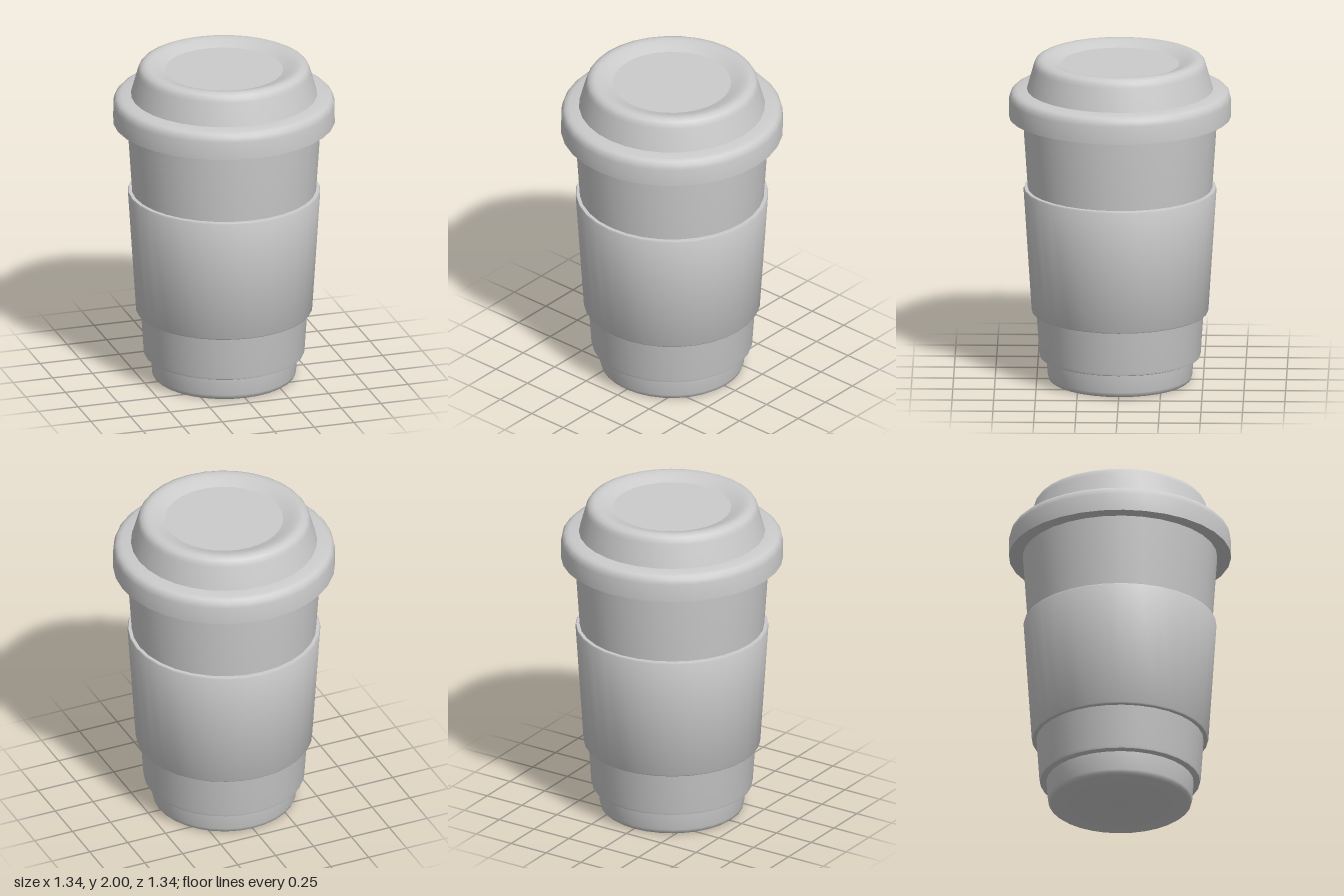
import * as THREE from 'three';
import { toCreasedNormals } from 'three/addons/utils/BufferGeometryUtils.js';

const SIDES = 32;
const material = new THREE.MeshStandardMaterial({ color: 0xcccccc });

// Turn a profile of [radius, height] pairs, listed from bottom to top along the outside
function turned(name, profile) {
  const points = profile.map(([r, y]) => new THREE.Vector2(r, y));
  const geometry = toCreasedNormals(new THREE.LatheGeometry(points, SIDES), 0.7);
  const mesh = new THREE.Mesh(geometry, material);
  mesh.name = name;
  return mesh;
}

export function createModel() {
  const group = new THREE.Group();
  group.name = 'travelCup';

  // Tapered cup with a narrower foot
  group.add(turned('cup', [
    [0, 0], [0.415, 0], [0.428, 0.01], [0.434, 0.03], [0.443, 0.145],
    [0.47, 0.145], [0.481, 0.15], [0.485, 0.165],
    [0.586, 1.66], [0, 1.66],
  ]));

  // Grip sleeve, a thin closed band around the cup
  group.add(turned('sleeve', [
    [0.5, 0.425], [0.526, 0.425], [0.531, 0.432],
    [0.58, 1.188], [0.576, 1.197], [0.55, 1.197], [0.5, 0.425],
  ]));

  // Lid: overhanging flange, sloped wall and rounded rim dipping inward
  group.add(turned('lid', [
    [0.57, 1.64], [0.668, 1.64], [0.667, 1.75], [0.66, 1.78],
    [0.645, 1.797], [0.62, 1.805], [0.56, 1.81],
    [0.521, 1.95], [0.514, 1.972], [0.502, 1.988], [0.48, 1.999],
    [0.46, 2], [0.435, 1.996], [0.4, 1.983], [0.356, 1.966],
  ]));

  // Flat sunken centre of the lid
  group.add(turned('lidCentre', [[0.356, 1.966], [0, 1.966]]));

  return group;
}
